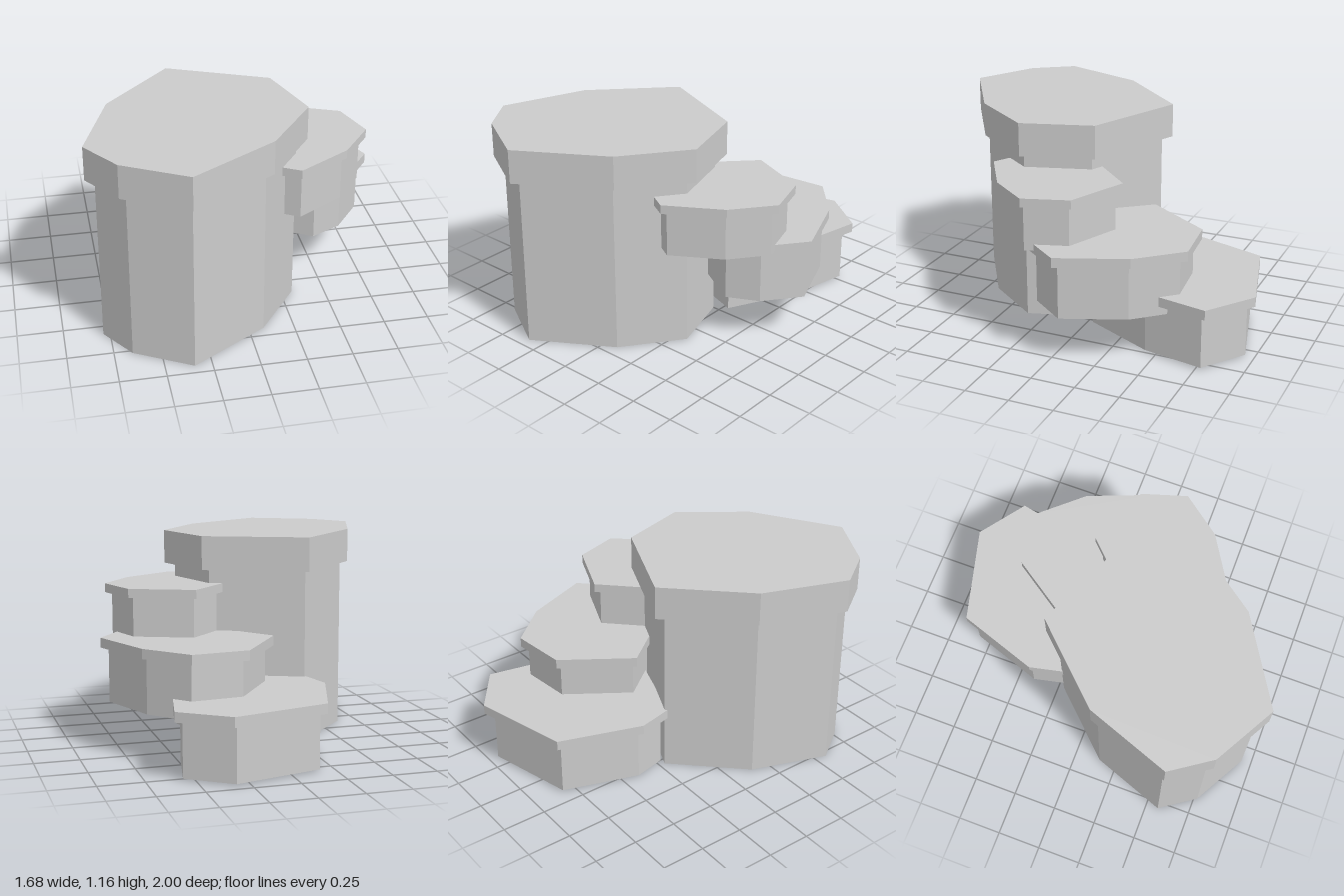
import * as THREE from 'three';

const material = new THREE.MeshStandardMaterial({ color: 0xcccccc, flatShading: true });

// Each stepped block: irregular cap outline [x, z], a narrower trunk below it
const BLOCKS = [
  {
    name: 'tallPillar', base: 0, neck: 0.975, top: 1.165, centre: [-0.28, 0.39], scale: 0.905,
    outline: [[-0.29, -0.28], [0.26, -0.04], [0.38, 0.36], [0.12, 0.71], [-0.35, 1.0], [-0.69, 0.81], [-0.84, 0.59], [-0.67, 0.12]],
  },
  {
    name: 'lowStep', base: 0.01, neck: 0.315, top: 0.37, centre: [0.1, -0.47], scale: 0.905,
    outline: [[-0.19, -0.86], [0.35, -1.0], [0.61, -0.81], [0.53, -0.43], [0.31, 0.01], [-0.3, -0.2], [-0.345, -0.4]],
  },
  {
    name: 'middleStep', base: 0.265, neck: 0.57, top: 0.625, centre: [0.4, -0.2], scale: 0.905,
    outline: [[0.16, -0.63], [0.48, -0.665], [0.69, -0.43], [0.84, -0.05], [0.67, 0.17], [0.48, 0.265], [0.18, 0.09], [-0.09, -0.26]],
  },
  {
    name: 'highStep', base: 0.59, neck: 0.845, top: 0.895, centre: [0.38, 0.17], scale: 0.9,
    outline: [[0.345, -0.24], [0.69, -0.095], [0.77, 0.16], [0.6, 0.38], [0.305, 0.56], [0.12, 0.455], [0.08, 0.3], [0.08, 0.03]],
  },
];

// Upright prism over an [x, z] outline
function prism(name, outline, bottom, top) {
  const shape = new THREE.Shape(outline.map(([x, z]) => new THREE.Vector2(x, -z)));
  const geometry = new THREE.ExtrudeGeometry(shape, { depth: top - bottom, bevelEnabled: false });
  geometry.rotateX(-Math.PI / 2).translate(0, bottom, 0);
  const mesh = new THREE.Mesh(geometry, material);
  mesh.name = name;
  return mesh;
}

export function createModel() {
  const model = new THREE.Group();
  model.name = 'steppedRockPillars';
  for (const { name, base, neck, top, centre: [cx, cz], scale, outline } of BLOCKS) {
    const block = new THREE.Group();
    block.name = name;
    const inset = outline.map(([x, z]) => [cx + (x - cx) * scale, cz + (z - cz) * scale]);
    block.add(prism('trunk', inset, base, neck), prism('cap', outline, neck, top));
    model.add(block);
  }
  return model;
}
